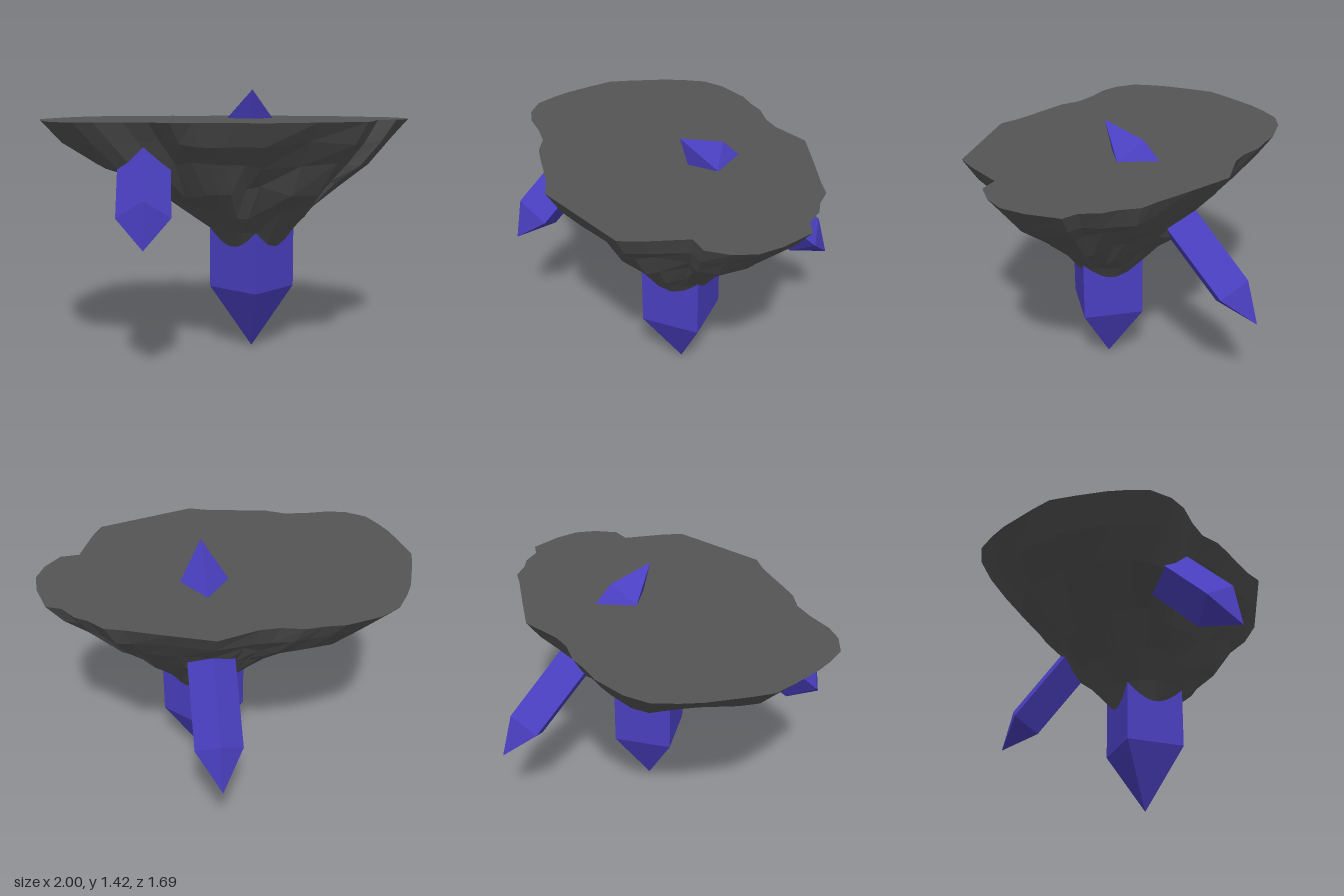
import * as THREE from 'three';

const CX = 0.14, CZ = 0.08, TOP = 1.26;

// Rim of the plateau as [x, z]: left, back, right, front
const RIM = [
  [-1, .07], [-.97, -.04], [-.9, -.25], [-.85, -.35], [-.78, -.46], [-.67, -.53], [-.49, -.58],
  [-.38, -.58], [-.29, -.59], [-.17, -.565], [-.07, -.57], [.14, -.64], [.36, -.565], [.57, -.49],
  [.66, -.465], [.73, -.39], [.8, -.345], [.86, -.26], [.94, -.23], [.99, -.06], [1, .07],
  [.96, .18], [.88, .28], [.78, .29], [.71, .5], [.66, .61], [.4, .7], [.14, .79], [.03, .755],
  [-.09, .735], [-.2, .72], [-.31, .7], [-.41, .65], [-.53, .64], [-.67, .645], [-.77, .62],
  [-.87, .55], [-.92, .44], [-.95, .35], [-.98, .2],
];

// Rock levels: height, share of rim radius, round radius, blend towards round, height waviness
const LEVELS = [
  [TOP, 1, 0, 0, 0],
  [1.15, .9, 0, 0, .012],
  [1.04, .76, 0, 0, .02],
  [.9, .63, .42, .5, .025],
  [.78, .5, .32, .85, .02],
  [.67, 0, .23, 1, 0],
  [.58, 0, .163, 1, 0],
  [.45, 0, .06, 1, 0],
];

function rockGeometry() {
  const n = RIM.length, pos = [], index = [];
  LEVELS.forEach(([y, share, round, blend, wave], k) => {
    for (const [x, z] of RIM) {
      const dx = x - CX, dz = z - CZ, R = Math.hypot(dx, dz), a = Math.atan2(dz, dx);
      const r = THREE.MathUtils.lerp(R * share, round, blend);
      const dy = wave * (Math.sin(5 * a + k * 2) + .5 * Math.sin(11 * a + k));
      pos.push(CX + dx / R * r, y + dy, CZ + dz / R * r);
    }
  });
  const topCentre = pos.length / 3, bottomCentre = topCentre + 1;
  pos.push(CX, TOP, CZ, CX, .4, CZ);
  const last = (LEVELS.length - 1) * n;
  for (let j = 0; j < n; j++) {
    const m = (j + 1) % n;
    index.push(topCentre, m, j, bottomCentre, last + j, last + m);
    for (let k = 0; k < last; k += n) {
      index.push(k + j, k + m, k + n + m, k + j, k + n + m, k + n + j);
    }
  }
  const indexed = new THREE.BufferGeometry();
  indexed.setAttribute('position', new THREE.Float32BufferAttribute(pos, 3));
  indexed.setIndex(index);
  const geometry = indexed.toNonIndexed();
  geometry.computeVertexNormals();
  return geometry;
}

// Square prism pointed at both ends, centred on its own axis
function crystalGeometry(radius, length, point) {
  const h = length / 2;
  const profile = [[0, -h], [radius, point - h], [radius, h - point], [0, h]];
  const geometry = new THREE.LatheGeometry(profile.map(p => new THREE.Vector2(...p)), 4).toNonIndexed();
  geometry.computeVertexNormals();
  return geometry;
}

export function createModel() {
  const model = new THREE.Group();
  model.name = 'floatingCrystalIsland';
  const stone = new THREE.MeshStandardMaterial({ color: 0x555555, flatShading: true });
  const violet = new THREE.MeshStandardMaterial({ color: 0x4a3fc0, flatShading: true });

  const rock = new THREE.Mesh(rockGeometry(), stone);
  rock.name = 'rock';
  model.add(rock);

  // Name, radius, length, point length, centre, tilt
  const crystals = [
    ['bottomCrystal', .23, 1.2, .34, [CX, .6, CZ], 0],
    ['backCrystal', .123, 1.31, .217, [CX, .955, -.378], Math.PI / 4],
    ['frontCrystal', .133, .74, .19, [-.435, .937, .583], -Math.PI / 4],
  ];
  for (const [name, radius, length, point, centre, tilt] of crystals) {
    const crystal = new THREE.Mesh(crystalGeometry(radius, length, point), violet);
    crystal.name = name;
    crystal.position.set(...centre);
    crystal.rotation.x = tilt;
    model.add(crystal);
  }
  return model;
}
